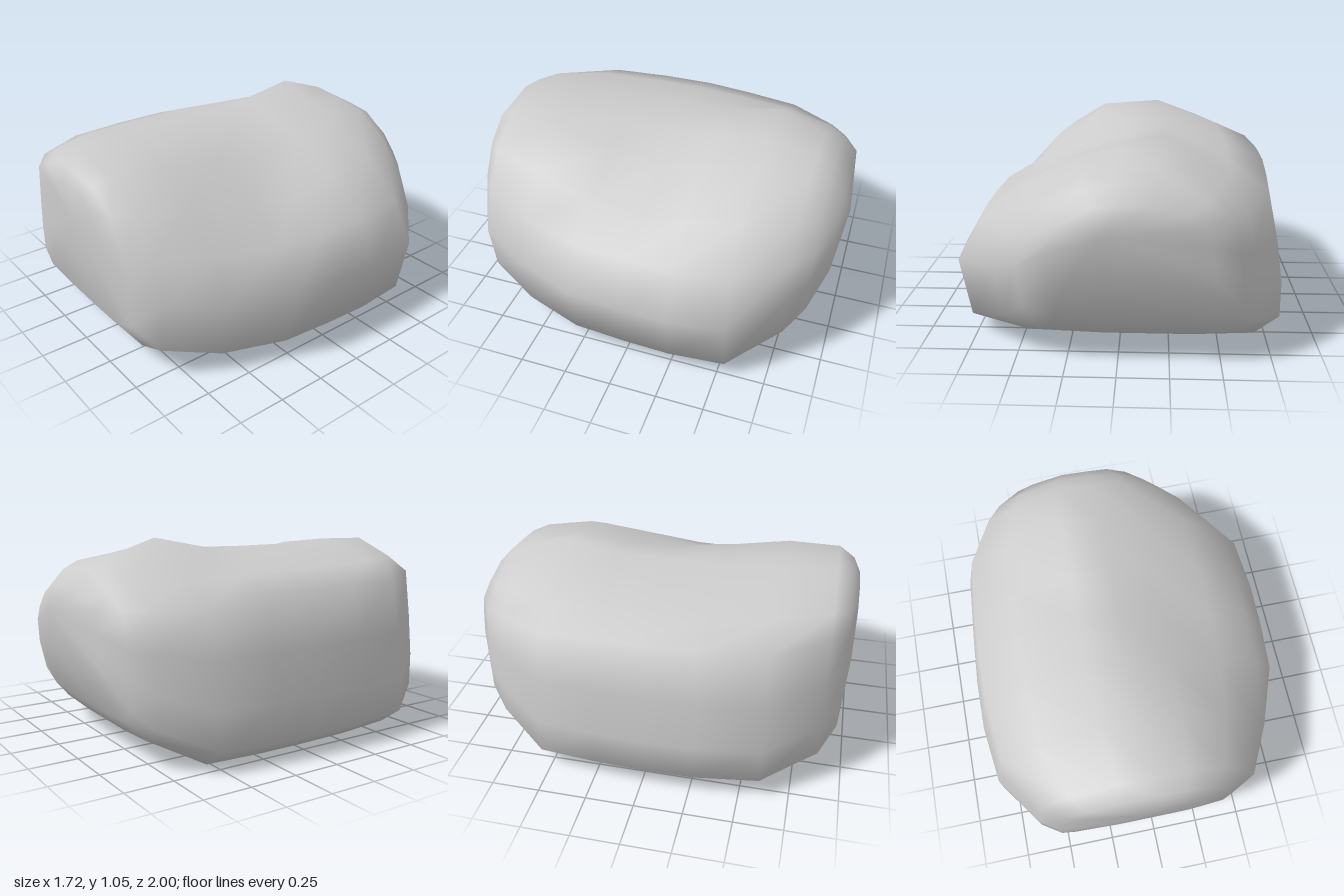
import * as THREE from 'three';

const { smoothstep } = THREE.MathUtils;

// Base cross-section, clockwise from the lower left: x share of half width, y share of height
const outline = [
  [-0.45, 0], [-0.84, 0.015], [-1, 0.11], [-1, 0.3], [-0.955, 0.55], [-0.89, 0.82], [-0.65, 0.9],
  [-0.25, 1], [0, 0.985], [0.24, 0.97], [0.58, 0.84], [0.85, 0.63], [1, 0.4], [0.93, 0.1],
  [0.58, 0.015], [0.1, 0],
];

// Sections from front to back: z, reach to -x, reach to +x, bottom, top
const sections = [
  [0.988, 0.26, 0.24, 0.48, 0.87],
  [0.95, 0.52, 0.42, 0.21, 0.94],
  [0.87, 0.63, 0.57, 0.09, 0.99],
  [0.6, 0.82, 0.71, 0.015, 0.99],
  [0.28, 0.86, 0.83, 0.01, 0.985],
  [0, 0.86, 0.85, 0.005, 0.985],
  [-0.25, 0.845, 0.855, 0, 0.985],
  [-0.54, 0.82, 0.83, 0, 1],
  [-0.79, 0.67, 0.6, 0.13, 0.955],
  [-0.88, 0.59, 0.48, 0.23, 0.91],
  [-0.96, 0.45, 0.34, 0.44, 0.83],
];

function buildStone() {
  const n = outline.length;
  const pos = [];
  const index = [];
  for (const [z, left, right, bottom, top] of sections) {
    // Valley across the middle, rear peak, and how far back the rear lump has set in
    const valley = 0.14 * Math.exp(-(((z - 0.05) / 0.34) ** 2));
    const peak = 0.05 * Math.exp(-(((z + 0.54) / 0.2) ** 2));
    const rear = 1 - smoothstep(z, -0.54, -0.1);
    for (const [u, v] of outline) {
      // Narrow end sections become squarer
      const reach = u < 0 ? left : right;
      const x = Math.sign(u) * reach * Math.pow(Math.abs(u), 0.6 + 0.46 * reach);
      const upper = smoothstep(v, 0.4, 0.8);
      let y = bottom + v * (top - bottom);
      // The valley fades out towards the +x flank
      y -= valley * upper * smoothstep(x, -0.2, 0.4) * (1 - smoothstep(x, 0.4, 0.8));
      // Rear lump: a peak left of centre above slightly lowered shoulders
      y += peak * upper * Math.exp(-(((x + 0.21) / 0.15) ** 2));
      y -= rear * upper * (0.045 * smoothstep(-x, 0.25, 0.6) + 0.03 * smoothstep(x, 0, 0.4));
      pos.push(x, y, z);
    }
  }
  for (let j = 0; j < sections.length - 1; j++) {
    for (let i = 0; i < n; i++) {
      const k = (i + 1) % n;
      const a = j * n + i, b = j * n + k, c = a + n, d = b + n;
      index.push(a, b, c, b, d, c);
    }
  }
  // Closed ends
  const front = pos.length / 3;
  pos.push(-0.02, 0.7, 1, 0.07, 0.69, -1);
  const last = (sections.length - 1) * n;
  for (let i = 0; i < n; i++) {
    const k = (i + 1) % n;
    index.push(front, k, i, front + 1, last + i, last + k);
  }
  const geo = new THREE.BufferGeometry();
  geo.setAttribute('position', new THREE.Float32BufferAttribute(pos, 3));
  geo.setIndex(index);
  geo.computeVertexNormals();
  return geo;
}

export function createModel() {
  const group = new THREE.Group();
  group.name = 'rock';
  const stone = new THREE.Mesh(buildStone(), new THREE.MeshStandardMaterial({ color: 0xcccccc }));
  stone.name = 'stone';
  group.add(stone);
  return group;
}
